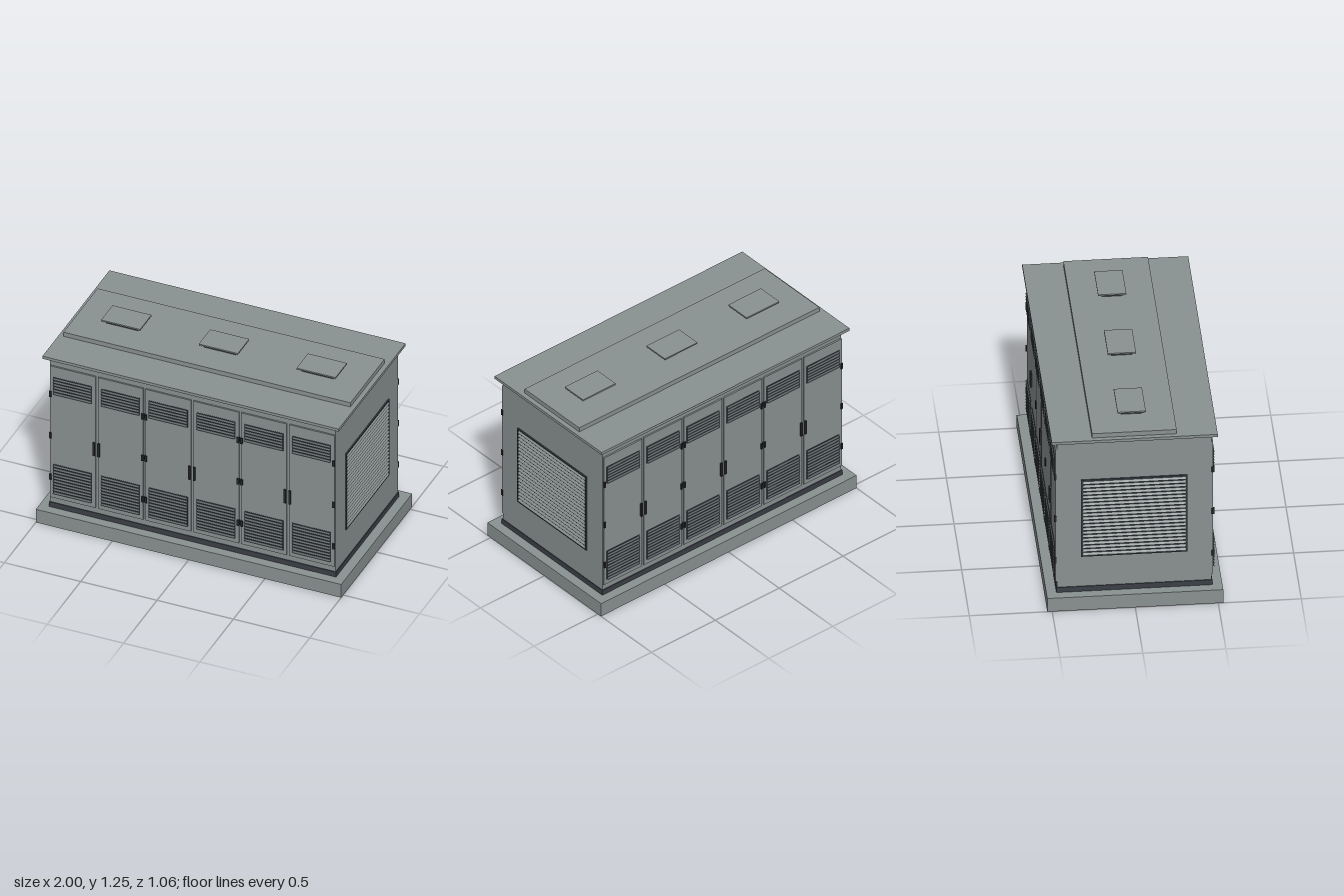
import * as THREE from 'three';

const material = (name, color) => {
  const m = new THREE.MeshStandardMaterial({ color });
  m.name = name;
  return m;
};

export function createModel() {
  const grey = material('cabinet grey', 0x8a9191);
  const dark = material('dark trim', 0x3b4047);
  const slatGrey = material('door louvre grey', 0x5a6063);
  const black = material('hardware black', 0x26292c);

  const root = new THREE.Group();
  root.name = 'equipmentCabinet';

  const box = (parent, name, mat, w, h, d, x, y, z) => {
    const mesh = new THREE.Mesh(new THREE.BoxGeometry(w, h, d), mat);
    mesh.name = name;
    mesh.position.set(x, y, z);
    parent.add(mesh);
    return mesh;
  };
  // Box centred in x and z, between two heights
  const slab = (name, mat, w, d, y0, y1, x = 0) =>
    box(root, name, mat, w, y1 - y0, d, x, (y0 + y1) / 2, 0);

  // Main stack
  slab('base', grey, 2, 1.06, 0, 0.095);
  slab('plinth', dark, 1.88, 0.94, 0.095, 0.13);
  slab('body', grey, 1.87, 0.93, 0.13, 1.16);
  slab('roofSeal', dark, 1.88, 0.94, 1.16, 1.176);
  slab('roof', grey, 1.94, 1.0, 1.176, 1.195);
  slab('roofRidge', grey, 1.88, 0.51, 1.195, 1.225);

  // Roof vents
  for (const x of [-0.64, 0, 0.64]) {
    slab('ventNeck', dark, 0.21, 0.126, 1.225, 1.246, x);
    slab('ventCap', grey, 0.255, 0.17, 1.246, 1.255, x);
  }

  // Row of sloping slats on a backing plate whose front lies at z
  const louvre = (parent, name, mat, width, x, y0, y1, z, count, depth, tilt) => {
    const group = new THREE.Group();
    group.name = name;
    parent.add(group);
    box(group, 'louvreBacking', dark, width, y1 - y0, 0.004, x, (y0 + y1) / 2, z - 0.001);
    const pitch = (y1 - y0) / count;
    for (let i = 0; i < count; i++) {
      const slat = box(group, 'slat', mat, width - 0.006, 0.002, depth,
        x, y0 + (i + 0.5) * pitch, z + 0.004);
      slat.rotation.x = tilt;
    }
  };

  // Six doors on the front, repeated on the back
  const pitch = 0.313;
  for (const turn of [0, Math.PI]) {
    const wall = new THREE.Group();
    wall.name = turn ? 'backDoors' : 'frontDoors';
    wall.rotation.y = turn;
    root.add(wall);

    for (let i = 0; i < 6; i++) {
      const x = (i - 2.5) * pitch;
      box(wall, 'door', grey, 0.297, 0.95, 0.012, x, 0.645, 0.469);
      louvre(wall, 'upperLouvre', slatGrey, 0.255, x, 0.92, 1.045, 0.476, 6, 0.015, 0.9);
      louvre(wall, 'lowerLouvre', slatGrey, 0.255, x, 0.2, 0.415, 0.476, 10, 0.015, 0.9);

      // Doors open in pairs: handles on one edge, hinges on the other
      const side = i % 2 === 0 ? 1 : -1;
      box(wall, 'handle', black, 0.014, 0.095, 0.012, x + side * 0.141, 0.598, 0.48);
      for (const y of [0.32, 0.62, 0.92])
        box(wall, 'hinge', black, 0.014, 0.04, 0.016, x - side * 0.145, y, 0.475);
    }
  }

  // Large framed louvre at each end
  for (const s of [-1, 1]) {
    const end = new THREE.Group();
    end.name = s > 0 ? 'leftVent' : 'rightVent';
    end.rotation.y = s * Math.PI / 2;
    root.add(end);
    louvre(end, 'endLouvre', grey, 0.63, 0, 0.352, 0.888, 0.936, 21, 0.021, 0.9);
    for (const k of [-1, 1]) {
      box(end, 'frameRail', dark, 0.64, 0.009, 0.012, 0, 0.62 + k * 0.2705, 0.937);
      box(end, 'frameStile', dark, 0.01, 0.55, 0.012, k * 0.316, 0.62, 0.937);
    }
  }
  return root;
}
